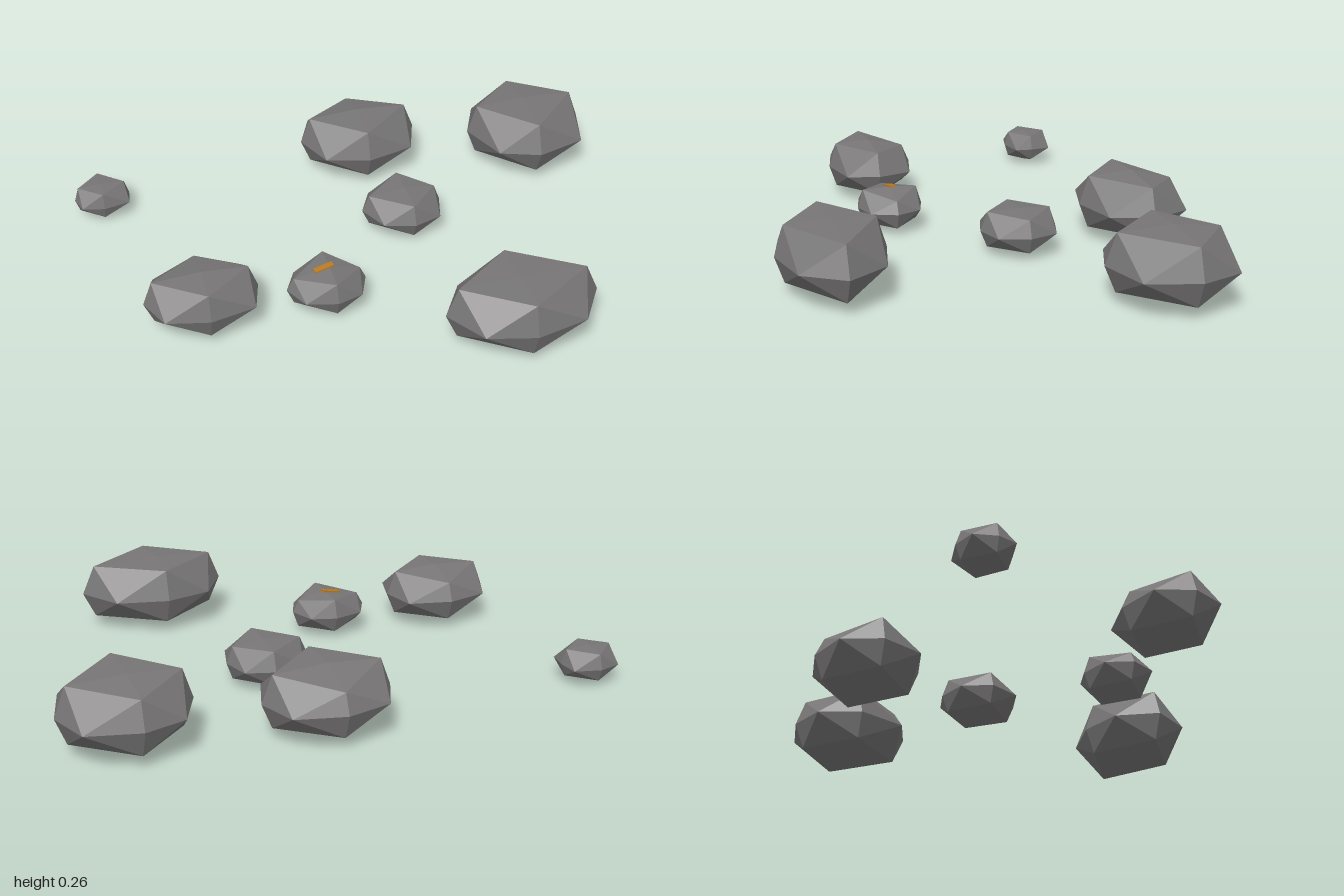
import * as THREE from 'three';

// x, z: outline limits; centre: summit position; spread: how far the left and
// right outline corners reach; shoulder: height of the side and back shoulders
const ROCKS = [
  { name: 'frontRock', x: [0.10, 0.645], z: [0.39, 0.77], centre: [0.36, 0.58], top: 0.252, spread: [0.65, 0.67], shoulder: [0.96, 0.97] },
  { name: 'backRock', x: [-0.105, 0.35], z: [-0.775, -0.39], centre: [0.12, -0.59], top: 0.242, spread: [0.72, 0.77], shoulder: [0.95, 0.83] },
  { name: 'leftRock', x: [0.54, 1], z: [-0.67, -0.23], centre: [0.76, -0.47], top: 0.257, spread: [0.68, 0.78], shoulder: [0.96, 0.92] },
  { name: 'rightRock', x: [-0.86, -0.46], z: [0.045, 0.367], centre: [-0.655, 0.21], top: 0.212, spread: [0.74, 0.83], shoulder: [0.95, 0.85] },
  { name: 'middleRock', x: [0.015, 0.315], z: [-0.275, 0.005], centre: [0.18, -0.14], top: 0.161, spread: [0.68, 0.77], shoulder: [0.92, 0.96] },
  { name: 'markedRock', x: [-0.365, -0.08], z: [0.115, 0.357], centre: [-0.21, 0.235], top: 0.156, spread: [0.7, 0.71], shoulder: [0.83, 0.96] },
  { name: 'smallRock', x: [-1, -0.795], z: [-0.63, -0.445], centre: [-0.9, -0.53], top: 0.126, spread: [0.8, 0.92], shoulder: [0.96, 0.95] },
];

// An octahedron split once, with its edge midpoints pushed out into a boxy boulder
function rockGeometry({ x, z, centre, top, spread, shoulder }) {
  const [cx, cz] = centre;
  const positions = [];
  for (const i of [0, 1]) for (const up of [0, 1]) for (const k of [0, 1]) {
    const dx = x[i] - cx;
    const dz = z[k] - cz;
    const point = (fx, fy, fz) => [cx + dx * fx, top * fy, cz + dz * fz];
    const side = point(1, 0.54, 0);
    const end = point(0, 0.54, 1);
    const pole = point(0, up, 0);
    const sideShoulder = point(0.84, up ? shoulder[0] : 0.17, 0);
    const endShoulder = point(0, up ? (k ? 0.97 : shoulder[1]) : 0.17, 0.83);
    const corner = point(spread[i], 0.54, 0.77);
    const faces = [
      [side, sideShoulder, corner],
      [sideShoulder, pole, endShoulder],
      [corner, endShoulder, end],
      [sideShoulder, endShoulder, corner],
    ];
    const outward = (i + up + k) % 2 === 1;
    for (const [a, b, c] of faces) positions.push(...a, ...(outward ? b : c), ...(outward ? c : b));
  }
  const geometry = new THREE.BufferGeometry();
  geometry.setAttribute('position', new THREE.Float32BufferAttribute(positions, 3));
  geometry.computeVertexNormals(); // unshared corners keep the facets flat
  return geometry;
}

export function createModel() {
  const group = new THREE.Group();
  group.name = 'rockScatter';
  const stone = new THREE.MeshStandardMaterial({ color: 0x777575 });
  stone.name = 'stone grey';
  const ochre = new THREE.MeshStandardMaterial({ color: 0xb87a20 });
  ochre.name = 'ochre';

  for (const rock of ROCKS) {
    const mesh = new THREE.Mesh(rockGeometry(rock), stone);
    mesh.name = rock.name;
    group.add(mesh);
  }

  // Small ochre fleck on top of one rock
  const fleck = new THREE.Mesh(new THREE.BoxGeometry(0.07, 0.008, 0.024), ochre);
  fleck.name = 'ochreFleck';
  fleck.position.set(-0.23, 0.152, 0.23);
  fleck.rotation.set(0, 0.1, 0.2);
  group.add(fleck);

  return group;
}
